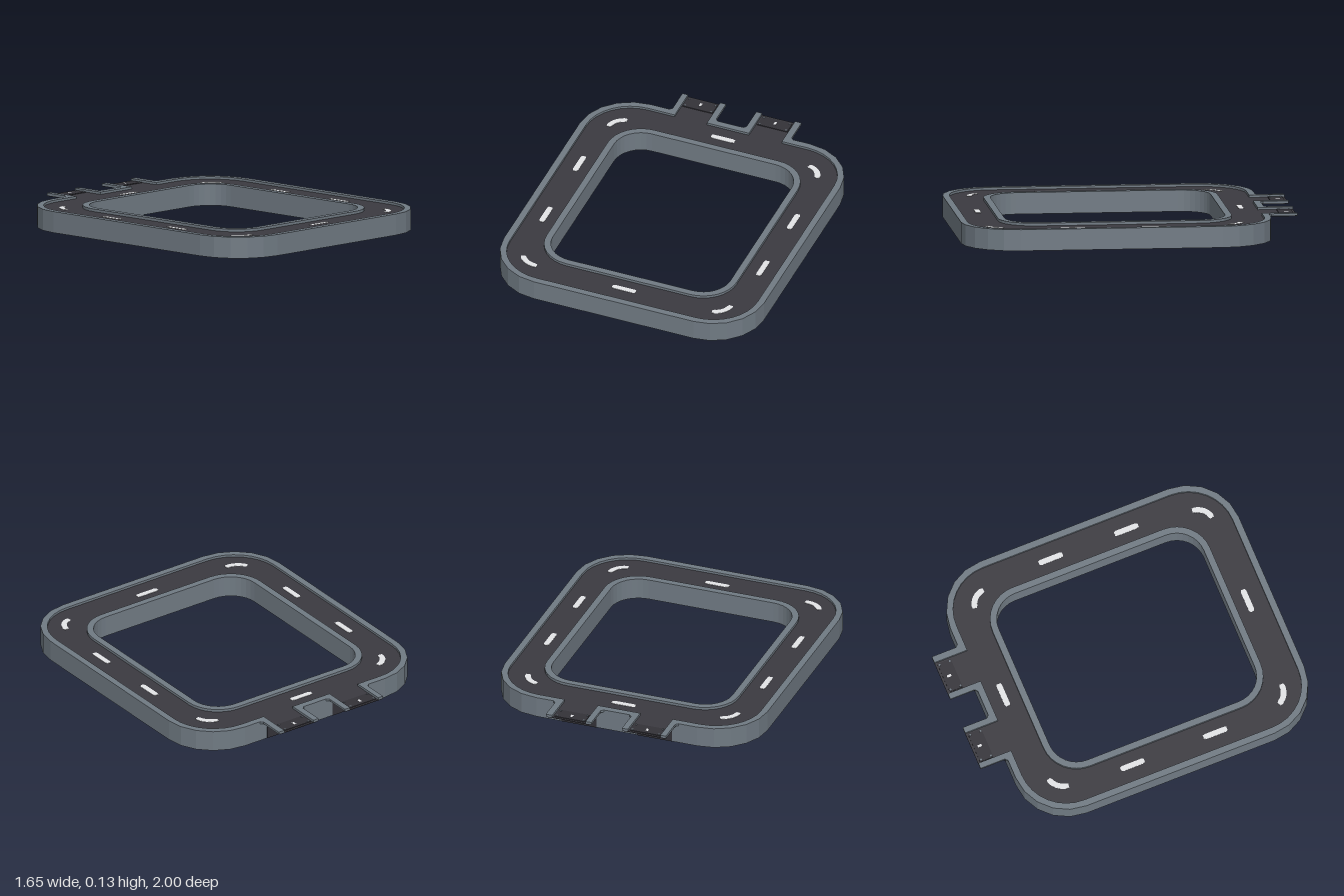
import * as THREE from 'three';

const ROAD_Y = 0.112, TOP_Y = 0.126;

// Rounded-rectangle outlines (shape y = -z), n facets per corner
const outer = { x: 0.825, back: 0.832, front: -1.0, r: 0.32, n: 5 };
const inner = { x: 0.562, back: 0.57, front: -0.73, r: 0.17, n: 8 };
const grow = (o, d, n) => ({ x: o.x + d, back: o.back + d, front: o.front - d, r: o.r + d, n });

// Corner points, clockwise from the back right
function cornerPoints(o) {
  const points = [], cx = o.x - o.r;
  const centres = [[cx, o.back - o.r], [cx, o.front + o.r], [-cx, o.front + o.r], [-cx, o.back - o.r]];
  centres.forEach(([x, y], k) => {
    for (let i = 0; i <= o.n; i++) {
      const a = (1 - k - i / o.n) * Math.PI / 2;
      points.push(new THREE.Vector2(x + o.r * Math.cos(a), y + o.r * Math.sin(a)));
    }
  });
  return points;
}

// Closed band between two outlines; the hole runs the opposite way
function band(outside, inside) {
  const s = new THREE.Shape(cornerPoints(outside));
  s.holes.push(new THREE.Path(cornerPoints(inside).reverse()));
  return s;
}

const vectors = (pairs) => pairs.map(([x, y]) => new THREE.Vector2(x, y));

// Flat slab lying between two heights
function slab(name, shape, y0, y1, material) {
  const g = new THREE.ExtrudeGeometry(shape, { depth: y1 - y0, bevelEnabled: false });
  g.rotateX(-Math.PI / 2);
  g.translate(0, y0, 0);
  const m = new THREE.Mesh(g, material);
  m.name = name;
  return m;
}

function box(name, w, h, d, x, y, z, material) {
  const m = new THREE.Mesh(new THREE.BoxGeometry(w, h, d), material);
  m.position.set(x, y, z);
  m.name = name;
  return m;
}

// Painted stroke along a curve through three x, z control points
function stroke(a, b, c, width) {
  const curve = new THREE.QuadraticBezierCurve(...[a, b, c].map(([x, z]) => new THREE.Vector2(x, -z)));
  const left = [], right = [], n = 10;
  for (let i = 0; i <= n; i++) {
    const p = curve.getPoint(i / n), t = curve.getTangent(i / n);
    const w = (i === 0 || i === n ? 0.7 : 1) * width / 2;
    left.push(new THREE.Vector2(p.x - t.y * w, p.y + t.x * w));
    right.unshift(new THREE.Vector2(p.x + t.y * w, p.y - t.x * w));
  }
  return new THREE.Shape([...left, ...right]);
}

export function createModel() {
  const model = new THREE.Group();
  model.name = 'roadLoop';
  const mat = (name, color) => {
    const m = new THREE.MeshStandardMaterial({ color });
    m.name = name;
    return m;
  };
  const grey = mat('curbGrey', 0x707a83);
  const asphalt = mat('asphalt', 0x3b3a40);
  const plateDark = mat('plateDark', 0x333238);
  const white = mat('paintWhite', 0xe6e7ea);

  // Ring body: asphalt top and underside, grey walls
  model.add(slab('ringBody', band(outer, inner), 0, ROAD_Y, [asphalt, grey]));

  // Inner curb, a touch higher than the outer one
  model.add(slab('innerCurb', band(grow(inner, 0.04, 8), inner), ROAD_Y, TOP_Y + 0.002, grey));

  // Outer curb, open at the two back spurs
  const outerCurb = new THREE.Shape([
    ...vectors([[0.342, 1], [0.382, 1], [0.382, 0.847], [0.397, 0.832]]),
    ...cornerPoints(outer),
    ...vectors([[-0.387, 0.832], [-0.372, 0.847], [-0.372, 1], [-0.337, 1], [-0.337, 0.792]]),
    ...cornerPoints(grow(outer, -0.04, 8)).reverse(),
    new THREE.Vector2(0.342, 0.792),
  ]);
  model.add(slab('outerCurb', outerCurb, ROAD_Y, TOP_Y, grey));

  // Curb between the spurs
  const half = [[0.133, 0.792], [0.133, 1], [0.096, 1], [0.096, 0.847], [0.081, 0.832]];
  const middle = [...half, ...half.map(([x, y]) => [-x, y]).reverse()];
  model.add(slab('middleCurb', new THREE.Shape(vectors(middle)), ROAD_Y, TOP_Y, grey));

  // Back spurs with their bolted plates
  for (const side of [1, -1]) {
    const spur = new THREE.Group();
    spur.name = side > 0 ? 'leftSpur' : 'rightSpur';
    const x = side * 0.2365;
    spur.add(box('spurRoad', 0.27, 0.004, 0.17, x, ROAD_Y - 0.002, -0.915, asphalt));
    spur.add(box('wallPanel', 0.22, ROAD_Y - 0.004, 0.004, x, (ROAD_Y - 0.004) / 2, -0.832, plateDark));
    spur.add(box('plate', 0.19, 0.004, 0.085, x, ROAD_Y + 0.002, -0.944, plateDark));
    for (const dx of [-0.083, 0.083]) for (const dz of [-0.032, 0.032]) {
      const bolt = new THREE.Mesh(new THREE.CylinderGeometry(0.006, 0.006, 0.004, 8), grey);
      bolt.position.set(x + dx, ROAD_Y + 0.005, -0.944 + dz);
      bolt.name = 'bolt';
      spur.add(bolt);
    }
    spur.add(box('plateMark', 0.015, 0.001, 0.026, x, ROAD_Y + 0.0045, -0.95, white));
    model.add(spur);
  }

  // Painted lane marks: straight dashes and corner arcs
  const dash = (x0, z0, x1, z1) => [[x0, z0], [(x0 + x1) / 2, (z0 + z1) / 2], [x1, z1]];
  const marks = [
    dash(0.687, -0.195, 0.687, -0.045), dash(0.687, 0.285, 0.687, 0.435),
    dash(-0.687, -0.24, -0.687, -0.09), dash(-0.687, 0.285, -0.687, 0.435),
    dash(-0.068, -0.701, 0.08, -0.701), dash(-0.068, 0.85, 0.08, 0.85),
    [[-0.664, -0.56], [-0.655, -0.635], [-0.582, -0.656]],
    [[0.57, -0.65], [0.645, -0.635], [0.658, -0.56]],
    [[-0.663, 0.775], [-0.63, 0.838], [-0.552, 0.836]],
    [[0.565, 0.855], [0.637, 0.843], [0.65, 0.763]],
  ];
  for (const [a, b, d] of marks)
    model.add(slab('laneMark', stroke(a, b, d, 0.034), ROAD_Y, ROAD_Y + 0.002, white));

  return model;
}
